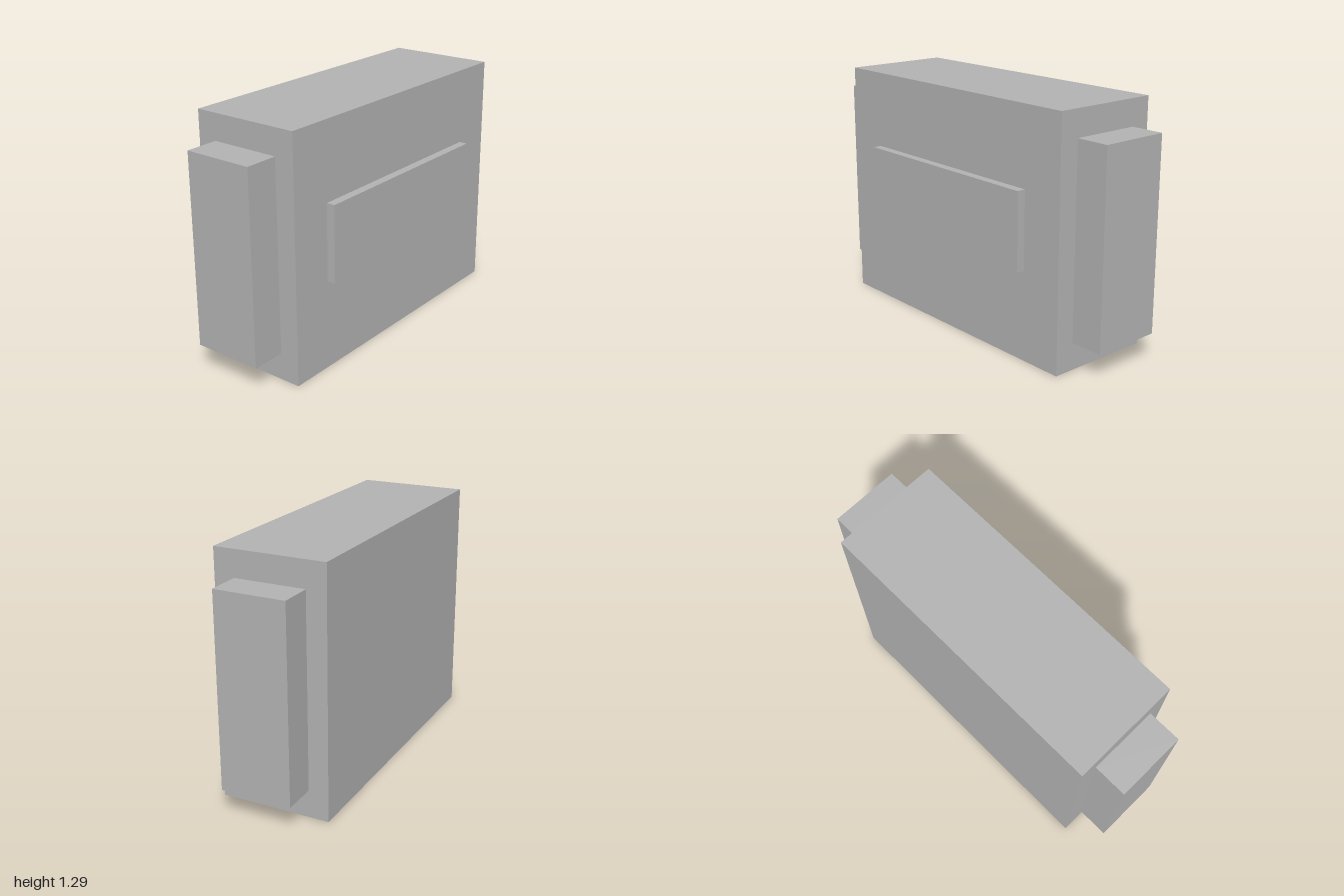
import * as THREE from 'three';

export function createModel() {
  const model = new THREE.Group();
  const grey = new THREE.MeshStandardMaterial({ color: 0xb2b2b2 });
  grey.name = 'grey';

  // Box given by its lower and upper corners
  function addBox(name, [x0, y0, z0], [x1, y1, z1]) {
    const mesh = new THREE.Mesh(new THREE.BoxGeometry(x1 - x0, y1 - y0, z1 - z0), grey);
    mesh.position.set((x0 + x1) / 2, (y0 + y1) / 2, (z0 + z1) / 2);
    mesh.name = name;
    model.add(mesh);
  }

  // Main block
  addBox('body', [-0.82, 0, -0.317], [0.82, 1.295, 0.271]);

  // Raised panel on the front
  addBox('frontPanel', [-0.587, 0.474, 0.271], [0.587, 0.884, 0.317]);

  // Side blocks, mirrored
  addBox('leftSideBlock', [0.82, 0.144, -0.211], [1, 1.156, 0.164]);
  addBox('rightSideBlock', [-1, 0.144, -0.211], [-0.82, 1.156, 0.164]);

  return model;
}
